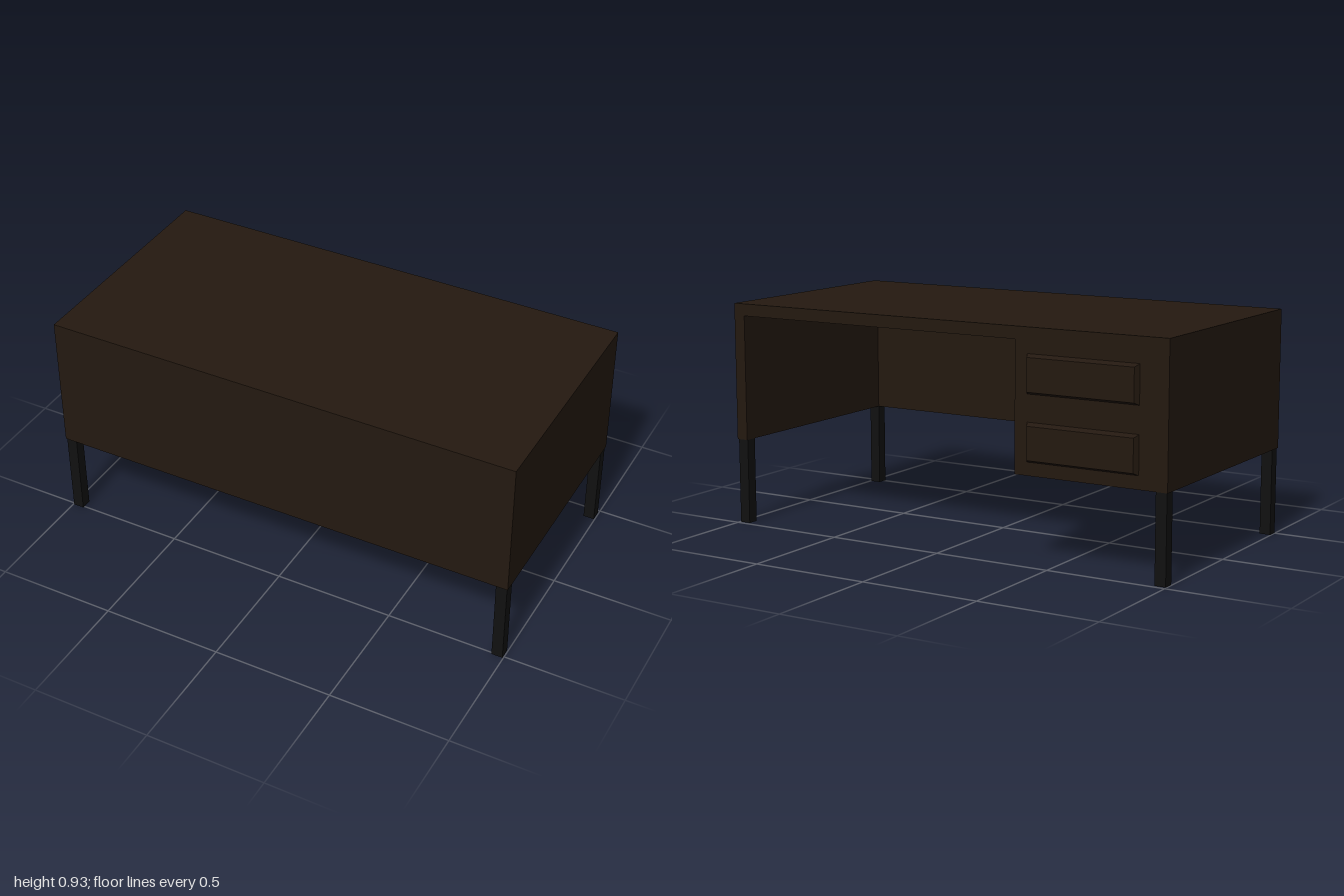
import * as THREE from 'three';

const wood = new THREE.MeshStandardMaterial({ color: 0x241910 });
const metal = new THREE.MeshStandardMaterial({ color: 0x111111 });

// Overall extents of the desk body
const X = 1, BOTTOM = 0.355, TOP = 0.925, BACK = -0.488, FRONT = 0.512, T = 0.05;

// Box given by its minimum and maximum corners
function box(name, [x0, y0, z0], [x1, y1, z1], material = wood) {
  const mesh = new THREE.Mesh(new THREE.BoxGeometry(x1 - x0, y1 - y0, z1 - z0), material);
  mesh.position.set((x0 + x1) / 2, (y0 + y1) / 2, (z0 + z1) / 2);
  mesh.name = name;
  return mesh;
}

// Raised drawer panel whose outer (-z) face is smaller, giving bevelled edges
function drawerFront(name, x, y, width, height, depth, bevel) {
  const geometry = new THREE.BoxGeometry(width, height, depth);
  const p = geometry.attributes.position;
  for (let i = 0; i < p.count; i++) {
    if (p.getZ(i) > 0) continue;
    p.setX(i, p.getX(i) - Math.sign(p.getX(i)) * bevel);
    p.setY(i, p.getY(i) - Math.sign(p.getY(i)) * bevel);
  }
  const flat = geometry.toNonIndexed();
  flat.computeVertexNormals();
  const mesh = new THREE.Mesh(flat, wood);
  mesh.position.set(x, y, BACK - depth / 2);
  mesh.name = name;
  return mesh;
}

export function createModel() {
  const desk = new THREE.Group();
  desk.name = 'desk';
  const under = TOP - T;

  // Top and panels
  desk.add(box('desktop', [-X, under, BACK], [X, TOP, FRONT]));
  desk.add(box('frontPanel', [-X, BOTTOM, FRONT - T], [X, under, FRONT]));
  desk.add(box('leftSidePanel', [X - T, BOTTOM, BACK], [X, under, FRONT - T]));

  // Drawer cabinet with two bevelled fronts
  desk.add(box('drawerCabinet', [-X, BOTTOM, BACK], [-0.35, under, FRONT - T]));
  desk.add(drawerFront('upperDrawer', -0.643, 0.747, 0.476, 0.154, 0.024, 0.011));
  desk.add(drawerFront('lowerDrawer', -0.643, 0.485, 0.476, 0.154, 0.024, 0.011));

  // Four square legs set just inside the corners
  const size = 0.046, inset = 0.004;
  for (const x of [-X + inset, X - inset - size]) {
    for (const z of [BACK + inset, FRONT - inset - size]) {
      desk.add(box('leg', [x, 0, z], [x + size, BOTTOM, z + size], metal));
    }
  }
  return desk;
}
